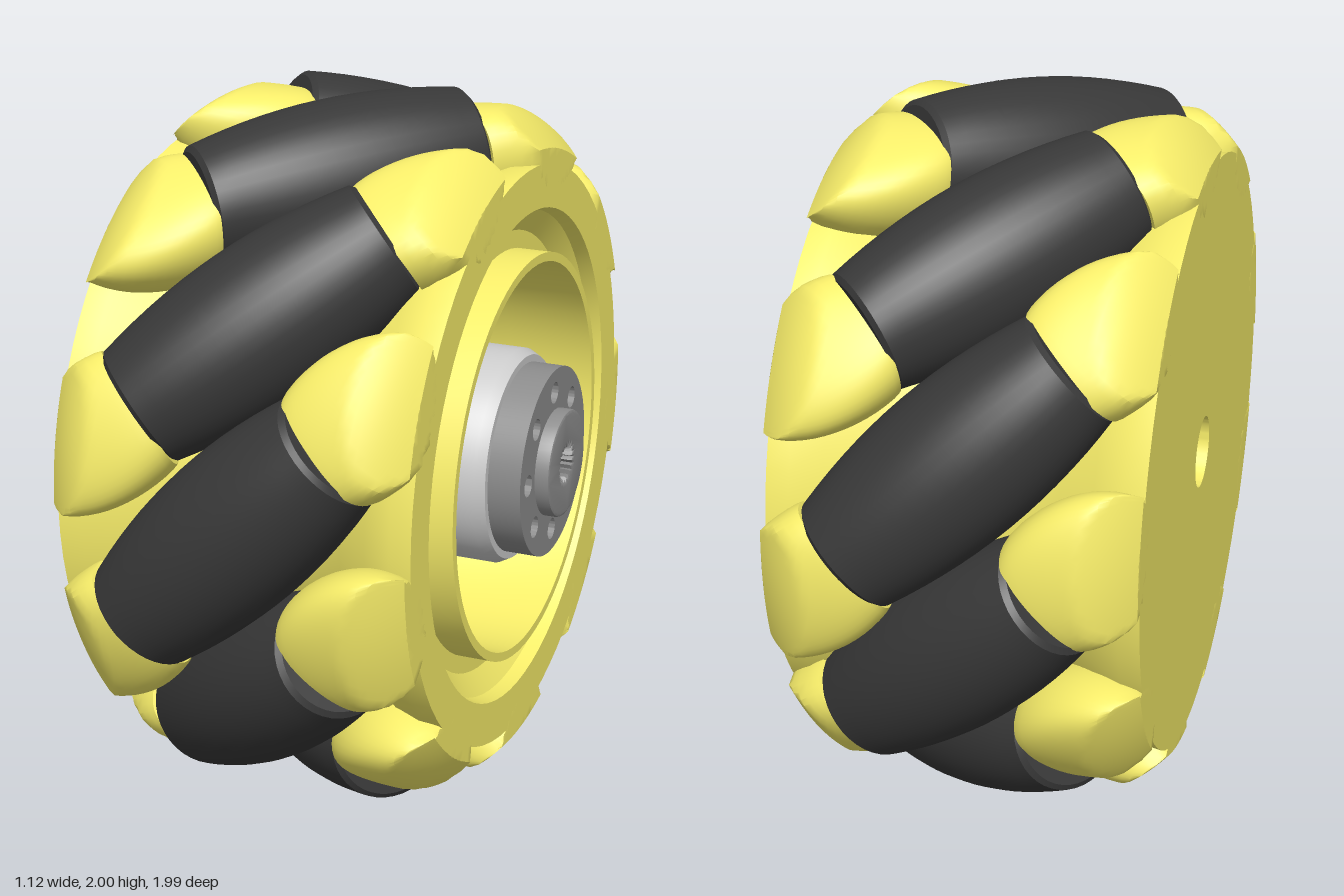
import * as THREE from 'three';
import { toCreasedNormals } from 'three/addons/utils/BufferGeometryUtils.js';

const COUNT = 9;          // rollers around the wheel
const MID_X = -0.065;     // middle plane of the wheel body
const R = 0.787;          // distance of roller centres from the axle
const HALF = 0.39;        // half length of a roller
const FLOOR = 0.05;       // bottom of the open bowl

const paint = (color) => new THREE.MeshStandardMaterial({ color });
const yellow = paint(0xf8ee6a);
const rubber = paint(0x383838);
const steel = paint(0xcccccc);
const darkSteel = paint(0x8c8c8c);

function add(parent, name, geometry, material) {
  const mesh = new THREE.Mesh(geometry, material);
  mesh.name = name;
  parent.add(mesh);
  return mesh;
}

// Solid of revolution around the x axis from [radius, x] pairs
function turned(pairs, segments = 72) {
  const points = pairs.map(([r, x]) => new THREE.Vector2(r, x));
  const g = new THREE.LatheGeometry(points, segments).rotateZ(-Math.PI / 2);
  return toCreasedNormals(g, 0.5);
}

function circle(r, cx = 0, cy = 0) {
  return new THREE.Path().absarc(cx, cy, r, 0, Math.PI * 2, true);
}

// Round plate with holes, extruded along x from x0 to x1
function plate(r, holes, x0, x1, bevel) {
  const shape = new THREE.Shape().absarc(0, 0, r - bevel, 0, Math.PI * 2, false);
  shape.holes.push(...holes);
  const g = new THREE.ExtrudeGeometry(shape, {
    depth: x1 - x0 - 2 * bevel, curveSegments: 32,
    bevelEnabled: bevel > 0, bevelSize: bevel, bevelThickness: bevel, bevelSegments: 2,
  });
  return toCreasedNormals(g.translate(0, 0, x0 + bevel).rotateY(Math.PI / 2), 0.5);
}

// Barrel whose outer side follows the tread circle
function rollerGeometry() {
  const points = [new THREE.Vector2(0, -HALF)];
  const radius = (t) => 1 - Math.sqrt(R * R + t * t / 2);
  points.push(new THREE.Vector2(radius(HALF) - 0.012, -HALF));
  for (let i = 0; i <= 14; i++) {
    const t = (i / 7 - 1) * (HALF - 0.012);
    points.push(new THREE.Vector2(radius(t), t));
  }
  points.push(new THREE.Vector2(radius(HALF) - 0.012, HALF), new THREE.Vector2(0, HALF));
  const g = new THREE.LatheGeometry(points, 40).rotateZ(-Math.PI / 4);
  return toCreasedNormals(g.translate(0, 0, R), 0.6);
}

// Bearing holder: an egg along the roller axis, cut flat by the roller end and
// the wheel side, and pressed down softly under the tread circle
function holderGeometry() {
  const g = new THREE.SphereGeometry(0.19, 44, 32);
  const c = 0.49 * Math.SQRT1_2;
  g.scale(1, 1.55, 1).rotateZ(-Math.PI / 4).translate(c, c, R);
  const p = g.attributes.position;
  const v = new THREE.Vector3();
  const axis = new THREE.Vector3(1, 1, 0).normalize();
  for (let i = 0; i < p.count; i++) {
    v.fromBufferAttribute(p, i);
    v.addScaledVector(axis, Math.max(0, HALF - 0.005 - v.dot(axis)));
    v.x = Math.min(v.x, 0.495);
    const r = Math.hypot(v.y, v.z);
    const pressed = r > 0.82 ? 0.82 + 0.15 * Math.tanh((r - 0.82) / 0.15) : r;
    const k = Math.min(pressed, 0.965 - 3 * Math.max(0, v.x - 0.3) ** 2) / r;
    v.y *= k;
    v.z *= k;
    p.setXYZ(i, v.x, v.y, v.z);
  }
  return toCreasedNormals(g, 0.7);
}

export function createModel() {
  const model = new THREE.Group();
  model.name = 'omnidirectionalWheel';
  const wheel = new THREE.Group();
  wheel.name = 'wheel';
  wheel.position.y = 1;
  model.add(wheel);

  // Waisted rim: closed disc on one side, open bowl with a raised lip on the other
  add(wheel, 'rim', turned([
    [0.1, -0.56], [0.83, -0.56], [0.82, -0.5], [0.78, -0.42], [0.71, -0.32], [0.65, -0.19],
    [0.63, MID_X], [0.65, 0.06], [0.71, 0.19], [0.78, 0.29], [0.81, 0.37], [0.81, 0.43],
    [0.69, 0.43], [0.68, 0.39], [0.62, 0.35], [0.57, 0.35], [0.57, 0.448], [0.545, 0.448],
    [0.54, 0.2], [0.52, 0.14], [0.46, 0.09], [0.38, 0.06], [0.3, FLOOR], [0.1, FLOOR],
    [0.1, -0.56],
  ]), yellow);

  // Slanted rollers, each held by a dome at both ends
  const roller = rollerGeometry();
  const holder = holderGeometry();
  for (let i = 0; i < COUNT; i++) {
    const unit = new THREE.Group();
    unit.name = 'rollerUnit';
    unit.position.x = MID_X;
    unit.rotation.x = (i / COUNT) * Math.PI * 2;
    wheel.add(unit);
    add(unit, 'roller', roller, rubber);
    add(unit, 'outerHolder', holder, yellow);
    add(unit, 'innerHolder', holder, yellow).rotation.z = Math.PI;
  }

  // Hub: light collar, drilled flange and splined boss
  add(wheel, 'hubCollar', turned([
    [0.262, FLOOR], [0.3, FLOOR], [0.3, 0.4], [0.285, 0.428], [0.262, 0.428], [0.262, FLOOR],
  ]), steel);

  const holes = [circle(0.12)];
  for (let i = 0; i < 8; i++) {
    const a = (i / 8) * Math.PI * 2;
    holes.push(circle(0.03, 0.2 * Math.cos(a), 0.2 * Math.sin(a)));
  }
  add(wheel, 'hubFlange', plate(0.265, holes, FLOOR, 0.52, 0), darkSteel);

  const spline = [];
  for (let i = 0; i < 40; i++) {
    const a = -(i / 40) * Math.PI * 2;
    const r = i % 2 ? 0.055 : 0.067;
    spline.push(new THREE.Vector2(r * Math.cos(a), r * Math.sin(a)));
  }
  add(wheel, 'hubBoss', plate(0.15, [new THREE.Path(spline)], 0.4, 0.56, 0.008), darkSteel);
  add(wheel, 'hubSleeve', plate(0.125, [new THREE.Path(spline)], FLOOR, 0.42, 0), darkSteel);

  return model;
}
